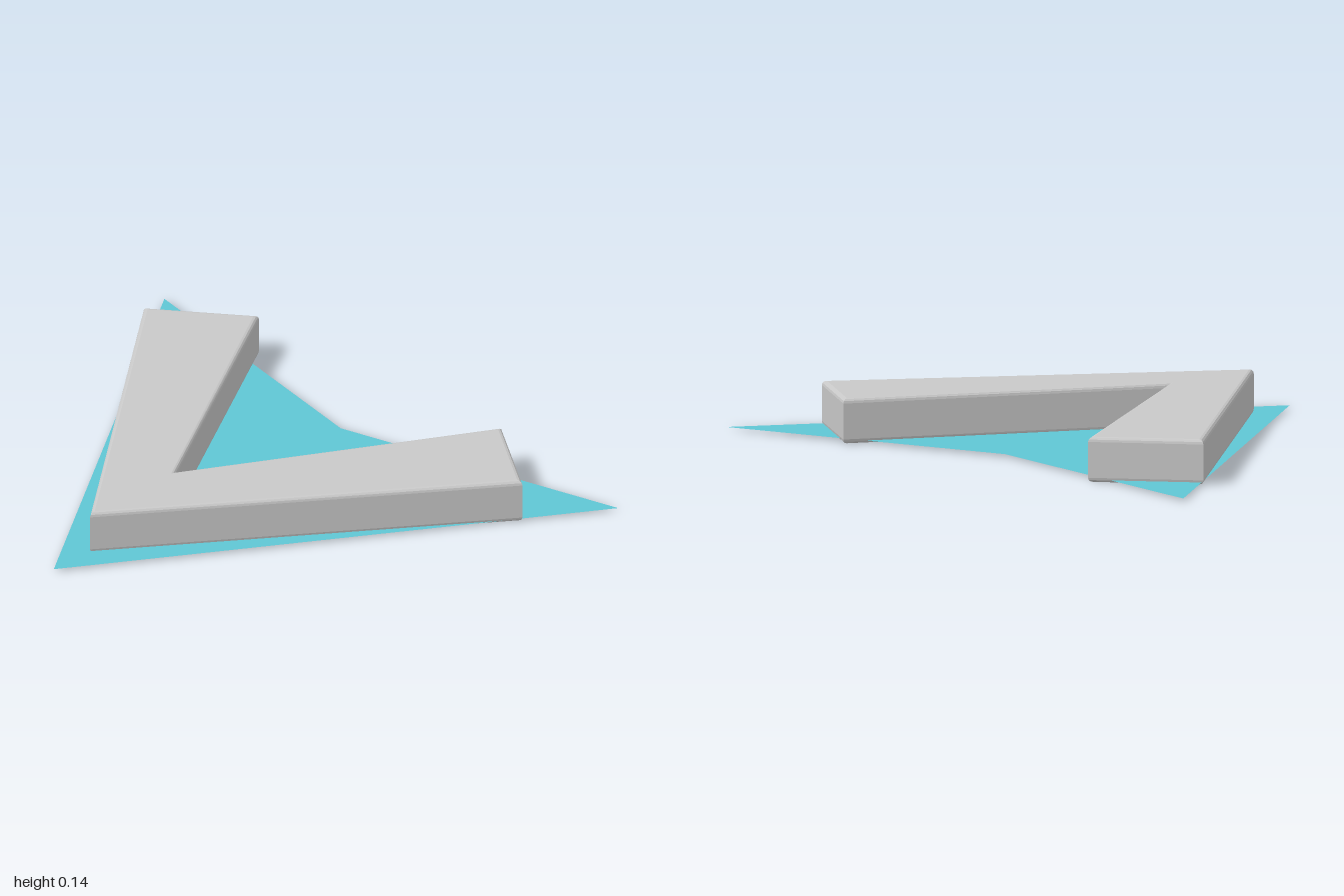
import * as THREE from 'three';

const grey = new THREE.MeshStandardMaterial({ color: 0xc8c8c8 });
grey.name = 'light grey';
const teal = new THREE.MeshStandardMaterial({ color: 0x5fc6d4, side: THREE.DoubleSide });
teal.name = 'teal';

// Shape on the ground plane from [x, z] points
const groundShape = (points) =>
  new THREE.Shape(points.map(([x, z]) => new THREE.Vector2(x, -z)));

export function createModel() {
  const group = new THREE.Group();
  group.name = 'chevronMarker';

  // Thick V-shaped bar with softened edges
  const height = 0.145, bevel = 0.015;
  const barGeometry = new THREE.ExtrudeGeometry(
    groundShape([[0, 0.6], [0.835, -0.505], [0.535, -0.72], [0, 0.21], [-0.535, -0.72], [-0.835, -0.505]]),
    {
      depth: height - 2 * bevel,
      bevelEnabled: true,
      bevelThickness: bevel,
      bevelSize: bevel,
      bevelOffset: -bevel,
      bevelSegments: 3,
    }
  );
  barGeometry.rotateX(-Math.PI / 2).translate(0, bevel, 0);
  const bar = new THREE.Mesh(barGeometry, grey);
  bar.name = 'chevronBar';

  // Flat arrowhead sheet, just above the underside of the bar
  const sheetGeometry = new THREE.ShapeGeometry(
    groundShape([[0, 0.765], [1, -0.77], [0, -0.54], [-1, -0.77]])
  );
  sheetGeometry.rotateX(-Math.PI / 2).translate(0, 0.008, 0);
  const sheet = new THREE.Mesh(sheetGeometry, teal);
  sheet.name = 'arrowheadSheet';

  group.add(bar, sheet);
  return group;
}
